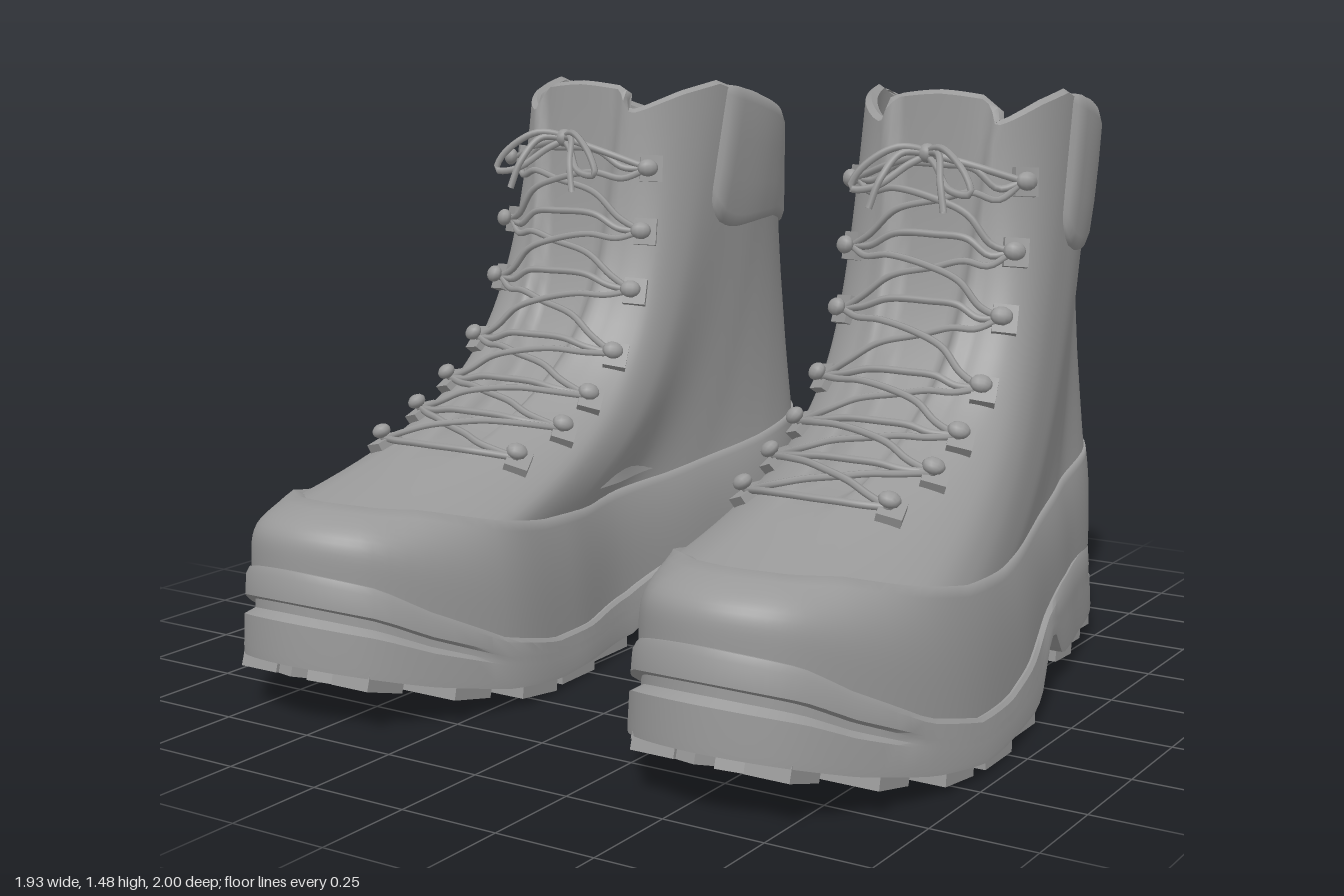
import * as THREE from 'three';
import { mergeGeometries, mergeVertices, toCreasedNormals } from 'three/addons/utils/BufferGeometryUtils.js';

const V = (x, y, z) => new THREE.Vector3(x, y, z);
const { lerp, smoothstep } = THREE.MathUtils;
const TAU = Math.PI * 2, SEG = 112;
const material = new THREE.MeshStandardMaterial({ color: 0x999999, side: THREE.DoubleSide });

// Linear lookup in a table of [key, value] pairs with rising keys
function look(table, k) {
  if (k <= table[0][0]) return table[0][1];
  for (let i = 1; i < table.length; i++) {
    const [a, va] = table[i - 1], [b, vb] = table[i];
    if (k <= b) return lerp(va, vb, (k - a) / (b - a));
  }
  return table[table.length - 1][1];
}

// Surface through rows of points, fn(angle, row)
function loft(fn, rows, from = 0, to = TAU, cols = SEG) {
  const closed = to - from >= TAU - 1e-6, n = closed ? cols : cols + 1;
  const pos = [], index = [];
  for (let j = 0; j < rows; j++)
    for (let i = 0; i < n; i++) pos.push(...fn(from + (to - from) * i / cols, j).toArray());
  for (let j = 0; j < rows - 1; j++)
    for (let i = 0; i < cols; i++) {
      const a = j * n + i, b = j * n + (i + 1) % n;
      index.push(a, b, b + n, a, b + n, a + n);
    }
  const g = new THREE.BufferGeometry();
  g.setAttribute('position', new THREE.Float32BufferAttribute(pos, 3));
  g.setIndex(index);
  g.computeVertexNormals();
  return g;
}
const crease = (g, angle) => mergeVertices(toCreasedNormals(g, angle));

// Plan outline of the sole: toe, outer side, heel, inner side
const outlineCurve = new THREE.CatmullRomCurve3([
  [.56, .995], [.75, .935], [.89, .74], [.965, .45], [.93, .08], [.85, -.25], [.79, -.52], [.68, -.86],
  [.47, -1], [.275, -.91], [.18, -.66], [.21, -.35], [.255, 0], [.205, .3], [.20, .6], [.36, .91],
].map(([x, z]) => V(x, 0, z)), true);
const outline = u => outlineCurve.getPoint((((u / TAU) % 1) + 1) % 1);

// Point on a ring moved outward in plan by d
function offset(f, u, d) {
  const t = f(u + .01).sub(f(u - .01)), l = Math.hypot(t.x, t.z) || 1;
  return f(u).add(V(-t.z / l * d, 0, t.x / l * d));
}

// Heights along the length of the boot
const baseY = z => look([[-1, .06], [-.37, .065], [-.31, .08], [-.27, .14], [-.2, .155], [-.14, .13], [-.08, .06],
  [0, .035], [.4, .03], [.6, .055], [.8, .1], [1, .16]], z);
const weltY = z => look([[-1, .255], [-.6, .245], [-.4, .235], [-.2, .2], [0, .145], [.2, .122], [.4, .13],
  [.6, .18], [.8, .28], [.9, .345], [1, .385]], z);
const randY = z => look([[-1, .535], [-.6, .475], [-.2, .43], [.15, .41], [.4, .43], [.6, .465], [.78, .505], [1, .52]], z);
const collarY = u => look([[0, 1.475], [.3, 1.463], [.38, 1.44], [.46, 1.4], [.6, 1.41], [1, 1.45], [1.35, 1.475],
  [1.72, 1.425], [2.25, 1.37], [2.6, 1.3], [2.85, 1.245], [3.15, 1.21]], Math.abs(Math.atan2(Math.sin(u), Math.cos(u))));

const toe = z => smoothstep(z, .5, 1.05);
const heel = z => smoothstep(-z, .55, .9);
const randInset = (z, v) => lerp(.025, .008, heel(z)) + lerp(.03, .012, heel(z)) * v ** 3 + .11 * toe(z) * v ** 4;

// Leather surface: s = 0 at the rand, 1 at the collar, with a sunken throat for the tongue
function upper(u, s, sunk = true) {
  const w = (1 - Math.cos(u)) / 2, e = lerp(.7, .95, w), o = outline(u);
  const p = offset(outline, u, -randInset(o.z, 1) - .004);
  const pw = a => Math.sign(a) * Math.abs(a) ** e;
  const q = V(.497 + .038 * Math.cos(u) + .277 * pw(Math.sin(u)), 0, -.515 + .36 * pw(Math.cos(u)));
  const t = lerp(1 - Math.exp(-5.6 * s), s, w);
  const r = p.clone().lerp(q, t);
  r.y = lerp(randY(p.z) - .01, collarY(u), s);
  if (sunk && w < .3) {
    const half = .07 + .08 * s;
    const d = smoothstep(s, .08, .13) * (1 - smoothstep(Math.abs(r.x - .54), half - .03, half));
    r.z -= .03 * d;
    r.y -= .03 * d * (1 - smoothstep(s, .2, .8));
  }
  return r;
}
function upperNormal(u, s) {
  const du = upper(u + .02, s, false).sub(upper(u - .02, s, false));
  const ds = upper(u, s + .01, false).sub(upper(u, s - .01, false));
  return du.cross(ds).normalize();
}

const tube = (points, r = .009, closed = false) =>
  new THREE.TubeGeometry(new THREE.CatmullRomCurve3(points, closed), points.length * 5, r, 6, closed);

function soleGeometry() {
  // [height fraction, inset, groove depth at toe and heel]
  const rows = [[0, 0, 0], [.1, 0, 0], [.46, .004, 0], [.52, .005, .025], [.62, .006, .025], [.68, .007, 0], [.92, .011, 0], [1, .02, 0], [1, .07, 0]];
  const ring = (u, j) => {
    const o = outline(u);
    if (j === 0) return V(.5 + .06 * o.z, baseY(o.z), o.z * .97);
    const [v, inset, groove] = rows[j - 1];
    const end = smoothstep(o.z, .6, .85) + smoothstep(-o.z, .75, .9);
    const p = offset(outline, u, -inset - groove * end);
    p.y = lerp(baseY(o.z), weltY(o.z), v);
    return p;
  };
  return crease(loft(ring, rows.length + 1), .6);
}

function lugGeometry() {
  const samples = Array.from({ length: 1200 }, (_, i) => outline(TAU * i / 1200));
  const span = z => {
    const xs = samples.filter(p => Math.abs(p.z - z) < .01).map(p => p.x);
    return [Math.min(...xs), Math.max(...xs)];
  };
  const lugs = [];
  const lug = (x, z, w, d, yaw) => {
    const slope = Math.atan((baseY(z + .05) - baseY(z - .05)) / .1);
    lugs.push(new THREE.BoxGeometry(w, .06, d).rotateY(yaw).rotateX(-slope).translate(x, baseY(z), z));
  };
  const rows = [[.86, .13], [.68, .14], [.49, .14], [.3, .14], [.1, .15], [-.41, .1], [-.55, .1], [-.69, .1], [-.84, .12]];
  for (const [z, d] of rows) {
    const a = span(z - d / 2), b = span(z + d / 2);
    const x0 = Math.max(a[0], b[0]) + .004, x1 = Math.min(a[1], b[1]) - .004, w = (x1 - x0) * .28, mid = (x0 + x1) / 2;
    lug(x0 + w / 2, z, w, d, 0);
    lug(x1 - w / 2, z, w, d, 0);
    for (const k of [-1, 1]) lug(mid + k * w * .4, z + .02, w * .75, d * .75, k * .4);
  }
  return mergeGeometries(lugs);
}

function randGeometry() {
  const n = 12;
  return loft((u, j) => {
    const z = outline(u).z, v = Math.min(1, j / n);
    const p = offset(outline, u, -randInset(z, v) - (j > n ? .03 : 0));
    p.y = lerp(weltY(z) - .015, randY(z), v ** (1 - .3 * toe(z))) - (j > n ? .012 : 0);
    return p;
  }, n + 2);
}

// Inner wall from the collar down to a flat footbed
function liningGeometry() {
  const n = 18, floorY = .45;
  return crease(loft((u, j) => {
    if (j >= n - 1) {
      const p = upper(u, .12);
      return V(j === n ? .5 + .06 * p.z : lerp(.5 + .06 * p.z, p.x, .94), floorY, p.z * .92);
    }
    const s = j < 3 ? 1 : lerp(1, .12, (j - 2) / (n - 4));
    const p = offset(a => upper(a, s), u, -[0, .015, .03][Math.min(j, 2)]);
    if (j === 1) p.y += .01;
    return p;
  }, n + 1), .9);
}

// Padded cuff wrapped around the back of the collar
function cuffGeometry() {
  const from = 1.4, to = TAU - 1.4;
  const rows = [[0, -.01, 0], [.02, .01, 0], [.1, .017, 0], [.35, .02, 0], [.65, .02, 0], [.94, .018, 0], [1, .008, .012], [1, -.018, .014], [1, -.04, 0]];
  return loft((u, j) => {
    const [v, off, dy] = rows[j];
    const d = Math.min(u - from, to - u), e = Math.sqrt(Math.min(1, d / .1));
    const s0 = .57 + .15 * (1 - Math.cos(u)) / 2 + .1 * Math.max(0, 1 - d / .35) ** 3;
    const p = offset(a => upper(a, lerp(s0, 1, v)), u, lerp(Math.min(off, -.008), off, e));
    p.y += dy * e;
    return p;
  }, rows.length, from, to, 72);
}

// Hooks sit at (u, s) on either side of the throat
const rowS = [.085, .145, .215, .32, .49, .655, .83];
function hookAngle(s, side) {
  const reach = s < .12 ? .185 : .205;
  for (let u = .05; u < 1.4; u += .01)
    if (Math.abs(upper(u * side, s, false).x - .535) > reach) return u * side;
  return 1.2 * side;
}
const hooks = rowS.map(s => [-1, 1].map(k => [hookAngle(s, k), s]));

function hookGeometry() {
  const parts = [];
  for (const [u, s] of hooks.flat()) {
    const n = upperNormal(u, s), p = upper(u, s, false);
    const turn = new THREE.Quaternion().setFromUnitVectors(V(0, 0, 1), n);
    for (const g of [
      new THREE.BoxGeometry(.06, .07, .03).translate(Math.sign(u) * .01, 0, .006),
      new THREE.CylinderGeometry(.012, .012, .03, 8).rotateX(Math.PI / 2).translate(0, 0, .03),
      new THREE.SphereGeometry(.023, 10, 8).scale(1.2, 1, .8).translate(0, 0, .042),
    ]) parts.push(g.applyQuaternion(turn).translate(p.x, p.y, p.z));
  }
  return mergeGeometries(parts);
}

function laceGeometry() {
  const strands = [];
  const strand = ([ua, sa], [ub, sb], lift) => strands.push(tube([0, .17, .34, .5, .66, .83, 1].map(k => {
    const u = lerp(ua, ub, k), s = lerp(sa, sb, k);
    return upper(u, s, false).addScaledVector(upperNormal(u, s), .02 + lift * Math.sin(Math.PI * k));
  })));
  hooks.forEach(([l, r], i) => {
    strand(l, r, -.006);
    if (i < hooks.length - 1) {
      strand(l, hooks[i + 1][1], 0);
      strand(r, hooks[i + 1][0], .012);
    }
  });
  // Bow: knot, two loops and two loose ends
  const knot = V(.54, 1.335, -.11);
  for (const end of hooks[6]) {
    const p = upper(...end, false).addScaledVector(upperNormal(...end), .025);
    strands.push(tube([p, p.clone().lerp(knot, .5).add(V(0, .005, .015)), knot]));
  }
  for (const k of [-1, 1]) {
    const at = (x, y, z) => knot.clone().add(V(x * k, y, z));
    strands.push(tube([at(0, 0, 0), at(.06, .015, .04), at(.14, -.04, .08), at(.16, -.085, .09), at(.1, -.08, .08), at(.04, -.03, .03)], .009, true));
    strands.push(tube([at(0, 0, 0), at(.05, 0, .04), at(.08, -.06, .09), at(.1, -.13, .11)]));
  }
  strands.push(new THREE.SphereGeometry(.024, 10, 8).translate(knot.x, knot.y, knot.z));
  return mergeGeometries(strands);
}

// Mirror a geometry in x and restore its winding
function mirrored(g) {
  const m = g.clone().scale(-1, 1, 1), a = m.index.array;
  for (let i = 0; i < a.length; i += 3) [a[i], a[i + 1]] = [a[i + 1], a[i]];
  return m;
}

export function createModel() {
  const rings = 30;
  const parts = {
    sole: soleGeometry(), treadLugs: lugGeometry(), rand: randGeometry(),
    upper: loft((u, j) => upper(u, (j / rings) ** 1.6), rings + 1),
    lining: liningGeometry(), collarCuff: cuffGeometry(),
    laceHooks: hookGeometry(), laces: laceGeometry(),
  };
  const model = new THREE.Group();
  model.name = 'hikingBoots';
  for (const side of ['left', 'right']) {
    const boot = new THREE.Group();
    boot.name = side + 'Boot';
    for (const [name, g] of Object.entries(parts)) {
      const mesh = new THREE.Mesh(side === 'left' ? g : mirrored(g), material);
      mesh.name = name;
      boot.add(mesh);
    }
    model.add(boot);
  }
  return model;
}
